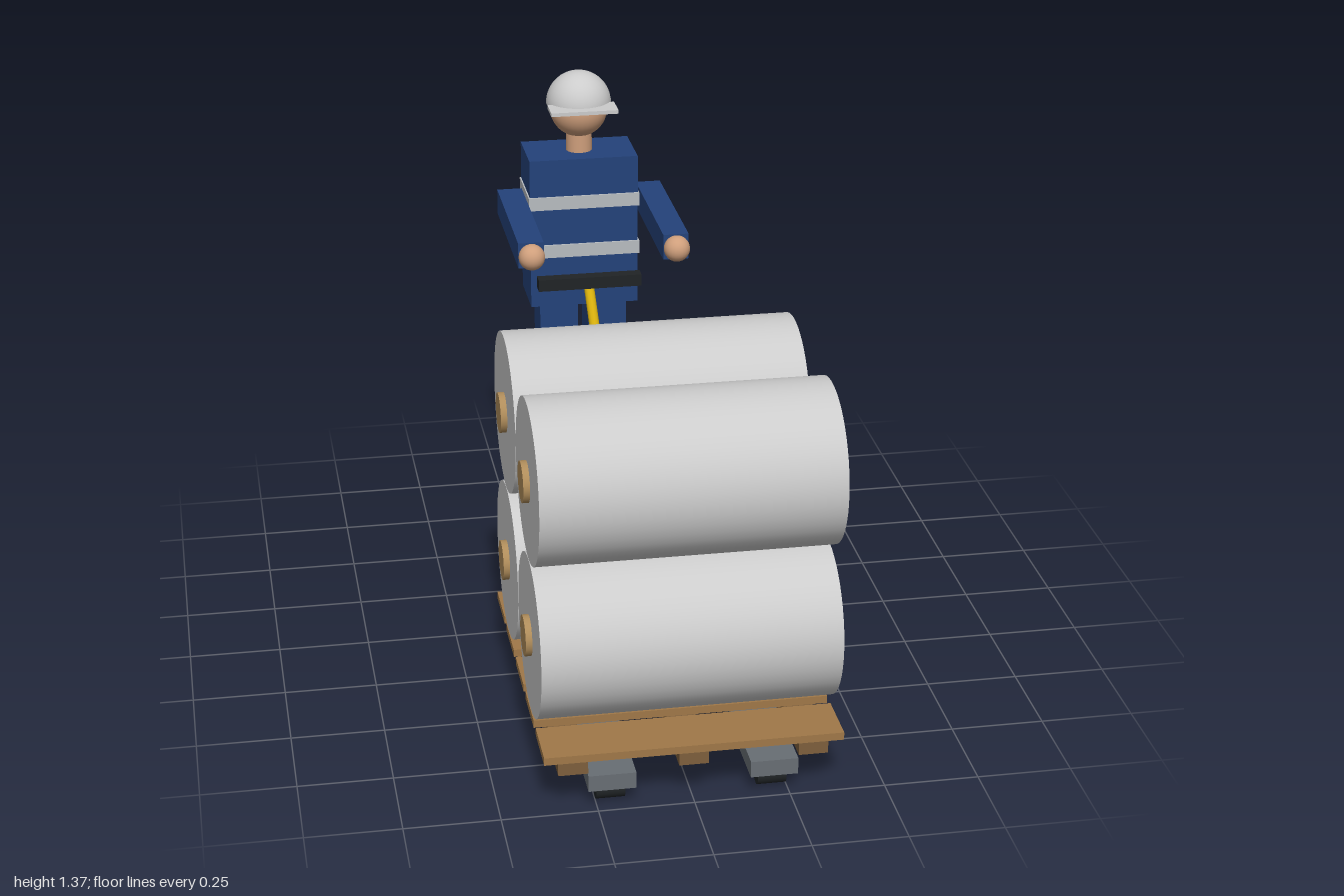
import * as THREE from 'three';

const mat = (color) => new THREE.MeshStandardMaterial({ color });

export function createModel() {
  const model = new THREE.Group();
  const grey = mat(0xcccccc), wood = mat(0xa07848), darkWood = mat(0x7d5f3c), core = mat(0xb08d5b);
  const yellow = mat(0xd4ad0c), black = mat(0x202426), steel = mat(0x686e74);
  const blue = mat(0x24427a), skin = mat(0xcf9f7c), stripe = mat(0xb8bcc0);

  const add = (parent, name, geometry, material, x = 0, y = 0, z = 0) => {
    const mesh = new THREE.Mesh(geometry, material);
    mesh.name = name;
    mesh.position.set(x, y, z);
    parent.add(mesh);
    return mesh;
  };
  // Box given by its centre x, width, and y and z ranges
  const box = (parent, name, material, x, w, y0, y1, z0, z1) =>
    add(parent, name, new THREE.BoxGeometry(w, y1 - y0, z1 - z0), material, x, (y0 + y1) / 2, (z0 + z1) / 2);
  // Cylinder lying along x
  const axle = (parent, name, material, r, length, x, y, z, sides = 32) =>
    add(parent, name, new THREE.CylinderGeometry(r, r, length, sides).rotateZ(Math.PI / 2), material, x, y, z);
  const group = (name) => {
    const g = new THREE.Group();
    g.name = name;
    model.add(g);
    return g;
  };

  // Stacked rolls with protruding cores
  const rolls = group('rolls');
  for (const y of [0.391, 0.826]) {
    for (const z of [0.32, 0.755]) {
      axle(rolls, 'roll', grey, 0.216, 0.776, 0, y, z, 48);
      axle(rolls, 'rollCore', core, 0.054, 0.81, 0, y, z, 24);
    }
  }

  // Wooden pallet
  const pallet = group('pallet');
  for (let i = 0; i < 5; i++) {
    const z = 0.923 - i * 0.193;
    box(pallet, 'deckBoard', wood, 0, 0.776, 0.147, 0.168, z - 0.077, z + 0.077);
  }
  for (const x of [-0.312, 0, 0.312]) box(pallet, 'stringer', darkWood, x, 0.077, 0.104, 0.143, 0.09, 0.985);

  // Pallet truck
  const truck = group('palletTruck');
  box(truck, 'truckBody', yellow, 0, 0.544, 0.073, 0.243, -0.055, 0.12);
  for (const side of [-1, 1]) {
    box(truck, 'fork', steel, side * 0.211, 0.124, 0.05, 0.095, 0.095, 0.985);
    axle(truck, 'forkWheel', black, 0.031, 0.075, side * 0.211, 0.031, 0.93, 24);
    axle(truck, 'steeringWheel', black, 0.077, 0.054, side * 0.155, 0.077, -0.008);
  }
  const from = new THREE.Vector3(0, 0.21, -0.07), to = new THREE.Vector3(0, 0.76, -0.72);
  const mid = from.clone().lerp(to, 0.5);
  const handle = add(truck, 'handle', new THREE.CylinderGeometry(0.0155, 0.0155, from.distanceTo(to), 12), yellow, 0, mid.y, mid.z);
  handle.quaternion.setFromUnitVectors(new THREE.Vector3(0, 1, 0), to.clone().sub(from).normalize());
  box(truck, 'handleGrip', black, 0, 0.31, 0.76, 0.796, -0.727, -0.69);

  // Worker
  const worker = group('worker');
  const cz = -0.898;
  box(worker, 'torso', blue, 0, 0.326, 0.667, 1.13, -0.994, -0.804);
  for (const y of [0.844, 0.996]) box(worker, 'reflectiveStripe', stripe, 0, 0.334, y - 0.02, y + 0.02, -0.999, -0.798);
  for (const side of [-1, 1]) {
    box(worker, 'leg', blue, side * 0.074, 0.116, 0.06, 0.667, -0.964, -0.836);
    box(worker, 'shoe', black, side * 0.077, 0.123, 0, 0.062, -0.972, -0.768);
    box(worker, 'arm', blue, side * 0.211, 0.074, 0.937, 1.013, -0.905, -0.435);
    add(worker, 'hand', new THREE.SphereGeometry(0.038, 24, 16), skin, side * 0.211, 0.975, -0.42);
  }
  add(worker, 'neck', new THREE.CylinderGeometry(0.039, 0.039, 0.1, 24), skin, 0, 1.16, cz);
  add(worker, 'head', new THREE.SphereGeometry(0.086, 32, 24), skin, 0, 1.26, cz);

  // Hard hat: closed dome with a flat peak
  const hat = new THREE.Group();
  hat.name = 'hardHat';
  worker.add(hat);
  add(hat, 'hatDome', new THREE.SphereGeometry(0.097, 32, 12, 0, Math.PI * 2, 0, Math.PI / 2),
    new THREE.MeshStandardMaterial({ color: 0xcccccc, side: THREE.DoubleSide }), 0, 1.276, cz);
  box(hat, 'hatPeak', grey, 0, 0.2, 1.275, 1.286, -0.855, -0.772);

  return model;
}
